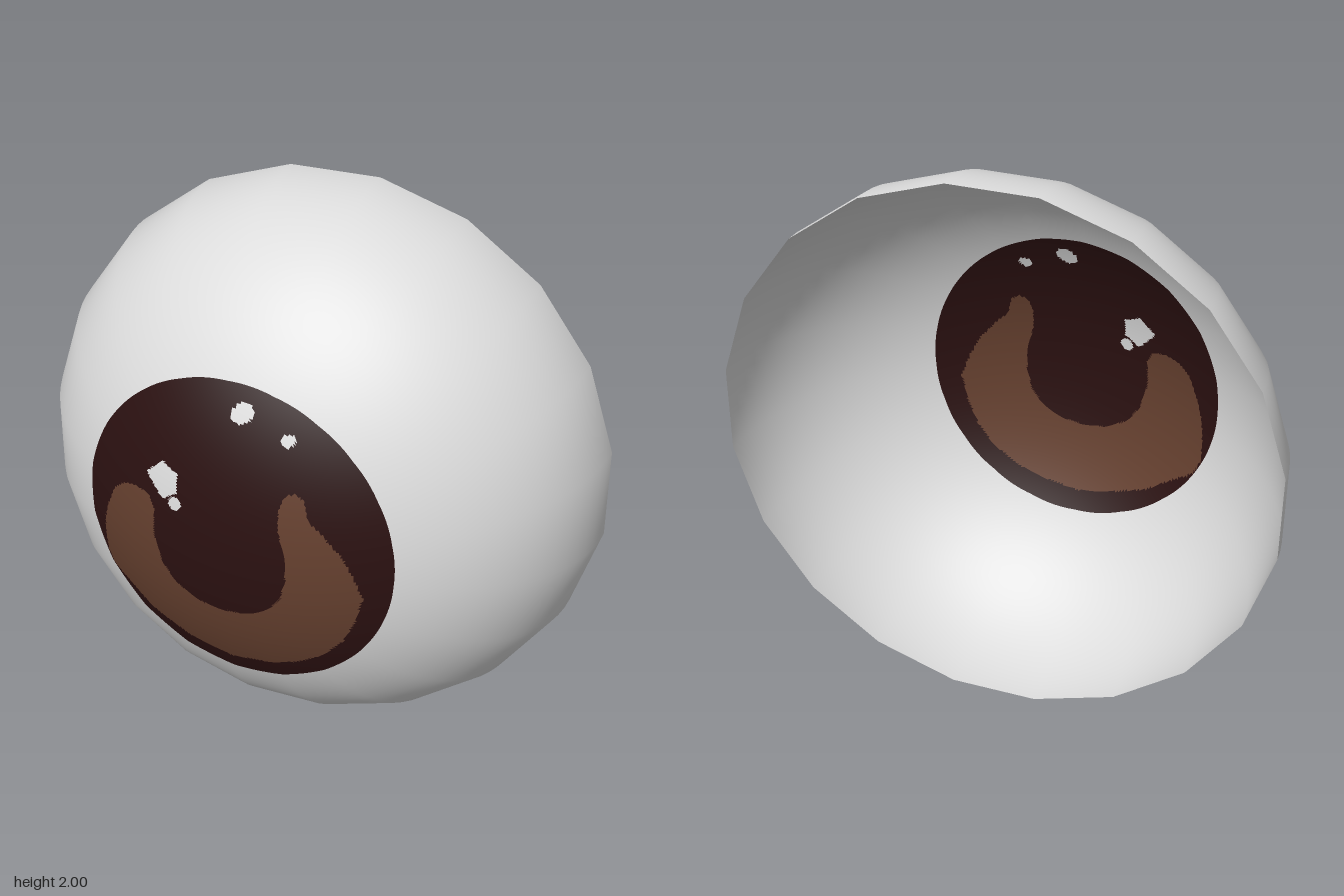
import * as THREE from 'three';

const RADIUS = 1.01, DEPTH = 0.8, SIDES = 20, PHASE = THREE.MathUtils.degToRad(11);
const AROUND = 240, IRIS_RINGS = 70, SHELL_RINGS = 16;
const IRIS = { u: -0.065, v: -0.03, r: 0.56 };

const mat = (name, color) => new THREE.MeshStandardMaterial({ name, color, side: THREE.DoubleSide });

// radius of the twenty-sided rim at an angle
function rimRadius(a) {
  const step = (2 * Math.PI) / SIDES;
  const t = ((((a - PHASE) % step) + step) % step) - step / 2;
  return (RADIUS * Math.cos(step / 2)) / Math.cos(t);
}

// point on the flattened dome above (u, v) in the rim plane
function domePoint(u, v) {
  const rho = Math.hypot(u, v) / rimRadius(Math.atan2(v, u));
  return new THREE.Vector3(u, v, DEPTH * Math.sqrt(Math.max(0, 1 - rho * rho)));
}

// rings of dome points; at(t, angle) gives (u, v)
function domeGrid(rings, at) {
  const pos = [], nor = [], quads = [];
  for (let i = 0; i <= rings; i++) {
    for (let j = 0; j <= AROUND; j++) {
      const p = domePoint(...at(i / rings, PHASE + (j / AROUND) * Math.PI * 2));
      const n = new THREE.Vector3(p.x, p.y, p.z * (RADIUS / DEPTH) ** 2).normalize();
      pos.push(p.x, p.y, p.z);
      nor.push(n.x, n.y, n.z);
      if (i < rings && j < AROUND) {
        const a = i * (AROUND + 1) + j, b = a + AROUND + 1;
        quads.push([a, b, b + 1], [a, b + 1, a + 1]);
      }
    }
  }
  return {
    position: new THREE.Float32BufferAttribute(pos, 3),
    normal: new THREE.Float32BufferAttribute(nor, 3),
    triangles: quads,
  };
}

function gridMesh(name, grid, triangles, material) {
  const g = new THREE.BufferGeometry();
  g.setAttribute('position', grid.position);
  g.setAttribute('normal', grid.normal);
  g.setIndex(triangles.flat());
  const mesh = new THREE.Mesh(g, material);
  mesh.name = name;
  return mesh;
}

// crescent of lighter colour, as seen from the front
const CRESCENT = [
  [-.28, .89], [-.25, 1], [-.21, 1.09], [-.16, 1.135], [-.1, 1.15], [-.045, 1.14], [-.02, 1.1],
  [-.02, 1], [.01, .9], [.055, .835], [.135, .79], [.22, .78], [.31, .795], [.38, .84],
  [.42, .9], [.435, .98], [.43, 1.075], [.405, 1.155], [.395, 1.235], [.405, 1.28],
  [.43, 1.295], [.46, 1.275], [.475, 1.215], [.52, 1.17], [.575, 1.1], [.61, 1.025],
  [.635, .94], [.615, .84], [.575, .74], [.51, .655], [.42, .59], [.325, .555],
  [.195, .53], [.06, .555], [-.07, .6], [-.175, .67], [-.255, .72], [-.29, .785],
];
const GLINT = [[-.065, 1.22], [-.01, 1.28], [.055, 1.255], [.065, 1.19], [.01, 1.15]];
const DOTS = [[.06, 1.15, .024], [.215, 1.5, .033], [.37, 1.45, .02]];

function inside(poly, x, y) {
  let hit = false;
  poly.forEach(([x1, y1], i) => {
    const [x2, y2] = poly[(i + 1) % poly.length];
    if (y1 > y !== y2 > y && x < x1 + ((y - y1) / (y2 - y1)) * (x2 - x1)) hit = !hit;
  });
  return hit;
}

export function createModel() {
  const white = mat('eyeWhite', 0xdcdcdc);
  const dark = mat('darkBrown', 0x2a1010);
  const brown = mat('warmBrown', 0x643f2e);

  // pose: the dome looks forward, to its left and slightly up
  const n = new THREE.Vector3(0.41, 0.075, 0.91).normalize();
  const u = new THREE.Vector3(n.z, 0, -n.x).normalize();
  const pose = new THREE.Matrix4().makeBasis(u, n.clone().cross(u), n).setPosition(-0.035, 1, -0.215);

  const eye = new THREE.Group();
  eye.name = 'eye';
  pose.decompose(eye.position, eye.quaternion, eye.scale);

  // white shell from the edge of the iris out to the rim
  const shell = domeGrid(SHELL_RINGS, (t, a) => {
    const s = Math.sin((t * Math.PI) / 2), R = rimRadius(a);
    const c = Math.cos(a), d = Math.sin(a);
    return [
      THREE.MathUtils.lerp(IRIS.u + IRIS.r * c, R * c, s),
      THREE.MathUtils.lerp(IRIS.v + IRIS.r * d, R * d, s),
    ];
  });
  eye.add(gridMesh('eyeShell', shell, shell.triangles, white));

  // iris disc, sorted into dark ground, crescent and glints
  const disc = domeGrid(IRIS_RINGS, (t, a) => [
    IRIS.u + IRIS.r * t * Math.cos(a),
    IRIS.v + IRIS.r * t * Math.sin(a),
  ]);
  const parts = { ground: [], crescent: [], glints: [] };
  const p = new THREE.Vector3(), q = new THREE.Vector3();
  for (const tri of disc.triangles) {
    p.set(0, 0, 0);
    tri.forEach((k) => p.addScaledVector(q.fromBufferAttribute(disc.position, k), 1 / 3));
    const { x, y } = p.applyMatrix4(pose);
    const lit = inside(GLINT, x, y) || DOTS.some(([a, b, r]) => Math.hypot(x - a, y - b) < r);
    parts[lit ? 'glints' : inside(CRESCENT, x, y) ? 'crescent' : 'ground'].push(tri);
  }
  eye.add(
    gridMesh('irisGround', disc, parts.ground, dark),
    gridMesh('irisCrescent', disc, parts.crescent, brown),
    gridMesh('irisGlints', disc, parts.glints, white),
  );

  const model = new THREE.Group();
  model.name = 'eyeDome';
  model.add(eye);
  return model;
}
